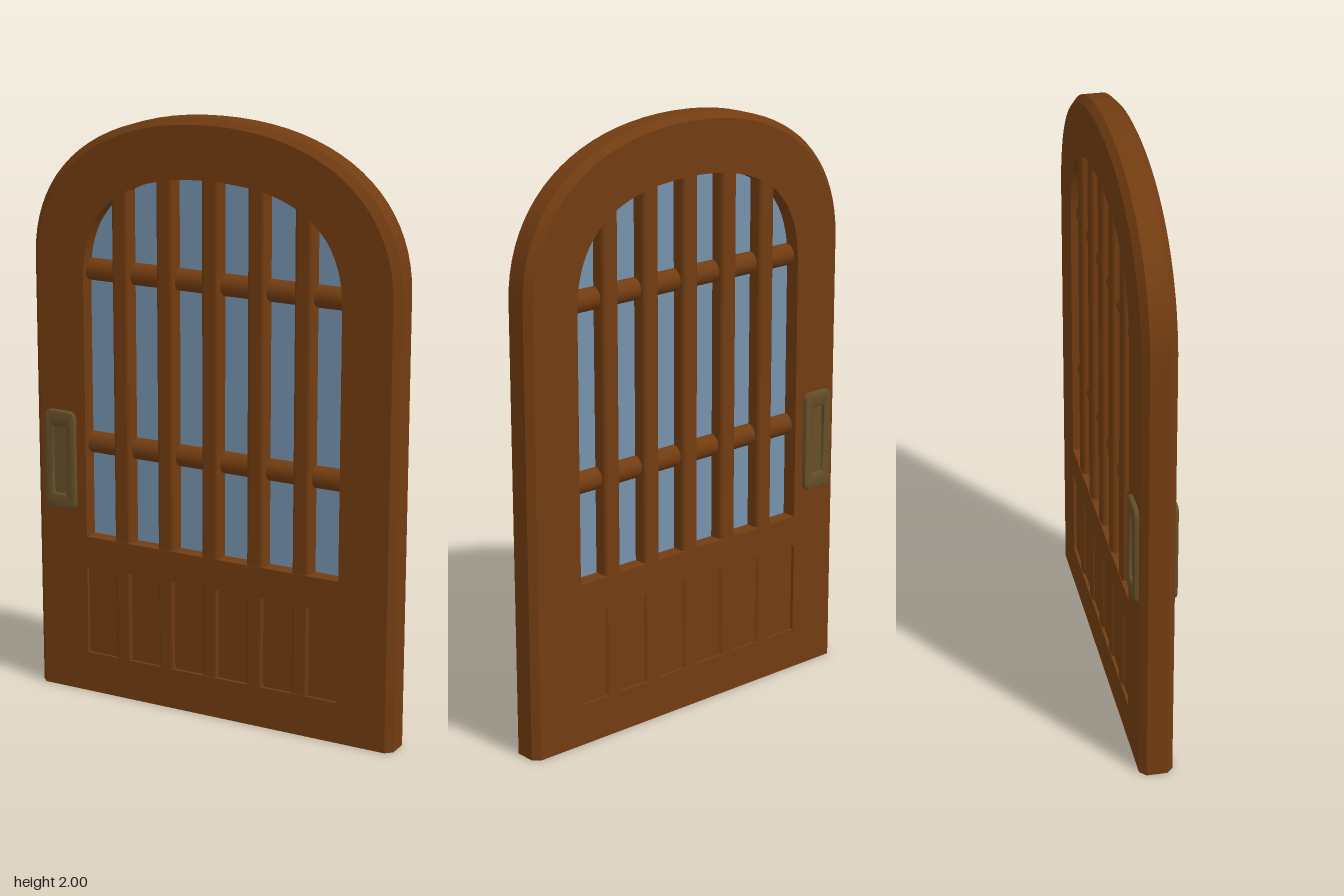
import * as THREE from 'three';
import { toCreasedNormals } from 'three/addons/utils/BufferGeometryUtils.js';
import { RoundedBoxGeometry } from 'three/addons/geometries/RoundedBoxGeometry.js';

const mat = (name, color) => {
  const m = new THREE.MeshStandardMaterial({ color });
  m.name = name;
  return m;
};

// Arched outline: straight sides up to `spring`, then a full curve to `top`.
function arch(path, w, bottom, spring, top, c1, c2) {
  path.moveTo(-w, bottom);
  path.lineTo(w, bottom);
  path.lineTo(w, spring);
  path.bezierCurveTo(w, c1, c2, top, 0, top);
  path.bezierCurveTo(-c2, top, -w, c1, -w, spring);
  path.closePath();
  return path;
}
const opening = (path) => arch(path, 0.47, 0.555, 1.45, 1.805, 1.68, 0.32);

function roundedRect(path, w, h, r) {
  const x = w / 2, y = h / 2;
  path.moveTo(-x + r, -y);
  path.lineTo(x - r, -y);
  path.quadraticCurveTo(x, -y, x, -y + r);
  path.lineTo(x, y - r);
  path.quadraticCurveTo(x, y, x - r, y);
  path.lineTo(-x + r, y);
  path.quadraticCurveTo(-x, y, -x, y - r);
  path.lineTo(-x, -y + r);
  path.quadraticCurveTo(-x, -y, -x + r, -y);
  return path;
}

export function createModel() {
  const door = new THREE.Group();
  door.name = 'archedDoor';
  const wood = mat('brown wood', 0x723c11);
  const glass = mat('blue grey glass', 0x7592ac);
  const bronze = mat('dark bronze', 0x654e28);

  const add = (name, geometry, material, x = 0, y = 0, z = 0, parent = door) => {
    const mesh = new THREE.Mesh(geometry, material);
    mesh.name = name;
    mesh.position.set(x, y, z);
    parent.add(mesh);
    return mesh;
  };

  // Frame with the arched window and the lower panel cut out
  const outline = arch(new THREE.Shape(), 0.665, 0, 1.5, 2, 1.8, 0.42);
  const panelHole = new THREE.Path();
  panelHole.moveTo(-0.47, 0.14);
  panelHole.lineTo(0.47, 0.14);
  panelHole.lineTo(0.47, 0.45);
  panelHole.lineTo(-0.47, 0.45);
  panelHole.closePath();
  outline.holes.push(opening(new THREE.Path()), panelHole);
  const frame = new THREE.ExtrudeGeometry(outline, {
    depth: 3, steps: 3, bevelEnabled: false, curveSegments: 20,
  });
  // Place the four layers in depth and chamfer only the outer rim
  const layers = [-0.055, -0.034, 0.034, 0.055];
  const p = frame.attributes.position;
  for (let i = 0; i < p.count; i++) {
    const layer = Math.round(p.getZ(i));
    const x = p.getX(i), y = p.getY(i);
    const rim = Math.abs(x) > 0.48 || y > 1.82;
    if (rim && (layer === 0 || layer === 3)) p.setXY(i, x * 0.967, y * 0.99);
    p.setZ(i, layers[layer]);
  }
  add('frame', toCreasedNormals(frame, 0.6), wood);

  // Shallow recessed lower panel and the window pane
  add('lowerPanel', new THREE.BoxGeometry(0.96, 0.33, 0.09), wood, 0, 0.295);
  const pane = new THREE.ExtrudeGeometry(opening(new THREE.Shape()), {
    depth: 0.008, bevelEnabled: false, curveSegments: 20,
  });
  add('windowPane', pane, glass, 0, 0, -0.004);

  // Upright bars run from the lower panel to the arch
  for (let i = -2; i <= 2; i++) {
    const top = Math.abs(i) === 2 ? 1.78 : 1.84;
    const bar = new RoundedBoxGeometry(0.063, top - 0.12, 0.106, 2, 0.014);
    add('uprightBar', bar, wood, i * 0.166, (top + 0.12) / 2);
  }

  // Round cross bars
  for (const y of [0.877, 1.467]) {
    const bar = new THREE.CylinderGeometry(0.038, 0.038, 0.96, 16);
    add('crossBar', bar.rotateZ(Math.PI / 2), wood, 0, y);
  }

  // Handle plates with a sunken grip, one on each face
  const plate = roundedRect(new THREE.Shape(), 0.104, 0.329, 0.02);
  plate.holes.push(roundedRect(new THREE.Path(), 0.066, 0.25, 0.014));
  const rimGeometry = toCreasedNormals(new THREE.ExtrudeGeometry(plate, {
    depth: 0.012, bevelThickness: 0.008, bevelSize: 0.008, bevelSegments: 2, curveSegments: 4,
  }), 0.6);
  for (const side of [1, -1]) {
    const handle = new THREE.Group();
    handle.name = side > 0 ? 'frontHandle' : 'backHandle';
    handle.position.set(-0.565, 0.813, 0);
    if (side < 0) handle.rotation.y = Math.PI;
    add('handleRim', rimGeometry, bronze, 0, 0, 0.05, handle);
    add('handleGrip', new THREE.BoxGeometry(0.08, 0.27, 0.01), bronze, 0, 0, 0.054, handle);
    door.add(handle);
  }
  return door;
}
